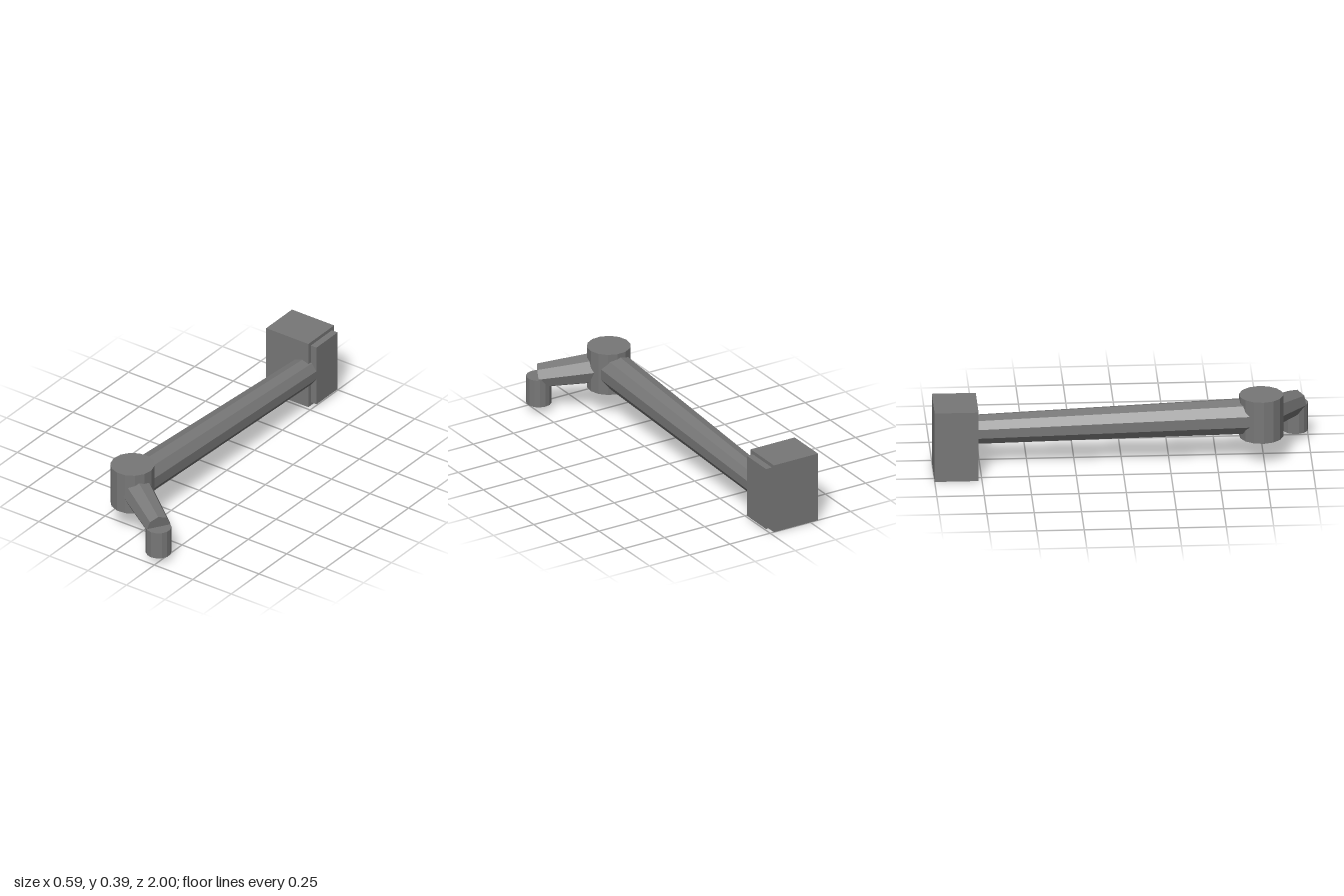
import * as THREE from 'three';

const material = new THREE.MeshStandardMaterial({ color: 0x777777, flatShading: true });

function addPart(group, name, geometry, x, y, z) {
  const mesh = new THREE.Mesh(geometry, material);
  mesh.name = name;
  mesh.position.set(x, y, z);
  group.add(mesh);
  return mesh;
}

// Tapered faceted bar between two points, with an edge on its underside, rolled about its length
function addBar(group, name, from, to, r0, r1, sides, roll) {
  const a = new THREE.Vector3(...from);
  const b = new THREE.Vector3(...to);
  const geometry = new THREE.CylinderGeometry(r1, r0, a.distanceTo(b), sides);
  geometry.rotateX(Math.PI / 2).rotateZ(roll);
  const mid = a.clone().add(b).multiplyScalar(0.5);
  addPart(group, name, geometry, mid.x, mid.y, mid.z).lookAt(b);
}

// Upright faceted drum, turned about its axis
function drum(radius, height, turn) {
  return new THREE.CylinderGeometry(radius, radius, height, 14, 1, false, turn);
}

export function createModel() {
  const group = new THREE.Group();
  group.name = 'jointedArm';

  // Shoulder block and its side plate
  addPart(group, 'shoulderBlock', new THREE.BoxGeometry(0.274, 0.39, 0.232), -0.161, 0.195, -0.884);
  addPart(group, 'shoulderPlate', new THREE.BoxGeometry(0.06, 0.35, 0.19), -0.017, 0.195, -0.885);

  // Long upper arm, thickening toward the elbow
  addBar(group, 'upperArm', [-0.062, 0.195, -0.885], [-0.085, 0.254, 0.735], 0.078, 0.098, 10, 0);
  addPart(group, 'elbow', drum(0.117, 0.234, -0.155), -0.083, 0.254, 0.735);

  // Short forearm, dropping to the wrist
  addBar(group, 'forearm', [-0.083, 0.254, 0.735], [0.229, 0.196, 0.932], 0.089, 0.067, 8, 0.09);
  addPart(group, 'wrist', drum(0.068, 0.155, 0), 0.229, 0.1175, 0.932);

  return group;
}
